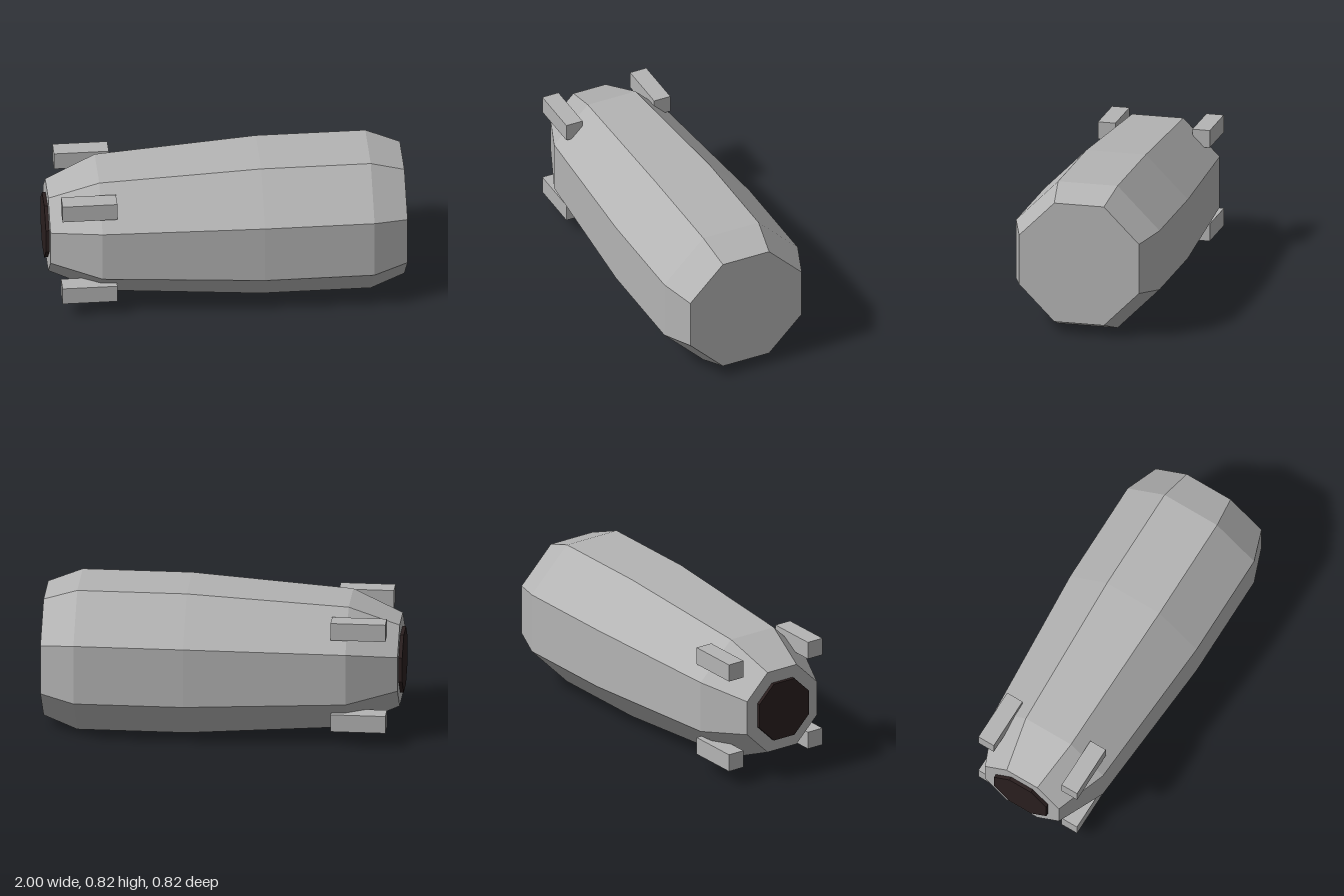
import * as THREE from 'three';

const AXIS_Y = 0.412;
const hullGrey = new THREE.MeshStandardMaterial({ name: 'hullGrey', color: 0xb4b4b4, flatShading: true });
const nozzleDark = new THREE.MeshStandardMaterial({ name: 'nozzleDark', color: 0x2a1f1f, flatShading: true });

// Eight-sided body along x from [x, half height across flats] pairs
function octagonBody(name, profile, material) {
  const points = profile.map(([x, half]) => new THREE.Vector2(half / Math.cos(Math.PI / 8), x));
  const geometry = new THREE.LatheGeometry(points, 8, Math.PI / 8);
  geometry.rotateZ(-Math.PI / 2);
  const mesh = new THREE.Mesh(geometry, material);
  mesh.name = name;
  mesh.position.y = AXIS_Y;
  return mesh;
}

export function createModel() {
  const model = new THREE.Group();
  model.name = 'capsule';

  // Tapered hull with a bevelled blunt nose
  model.add(octagonBody('hull', [
    [-0.98, 0], [-0.98, 0.24], [-0.7, 0.355], [0.2, 0.412], [0.81, 0.412], [1, 0.344], [1, 0],
  ], hullGrey));

  // Dark exhaust plate at the tail
  model.add(octagonBody('exhaust', [[-1, 0], [-1, 0.17], [-0.98, 0.17], [-0.98, 0]], nozzleDark));

  // Four thruster blocks around the tail
  const blockGeometry = new THREE.BoxGeometry(0.305, 0.1, 0.1);
  for (const sy of [-1, 1]) {
    for (const sz of [-1, 1]) {
      const block = new THREE.Mesh(blockGeometry, hullGrey);
      block.name = (sy > 0 ? 'upper' : 'lower') + (sz > 0 ? 'Front' : 'Back') + 'Thruster';
      block.position.set(-0.767, AXIS_Y + sy * 0.271, sz * 0.271);
      model.add(block);
    }
  }
  return model;
}
